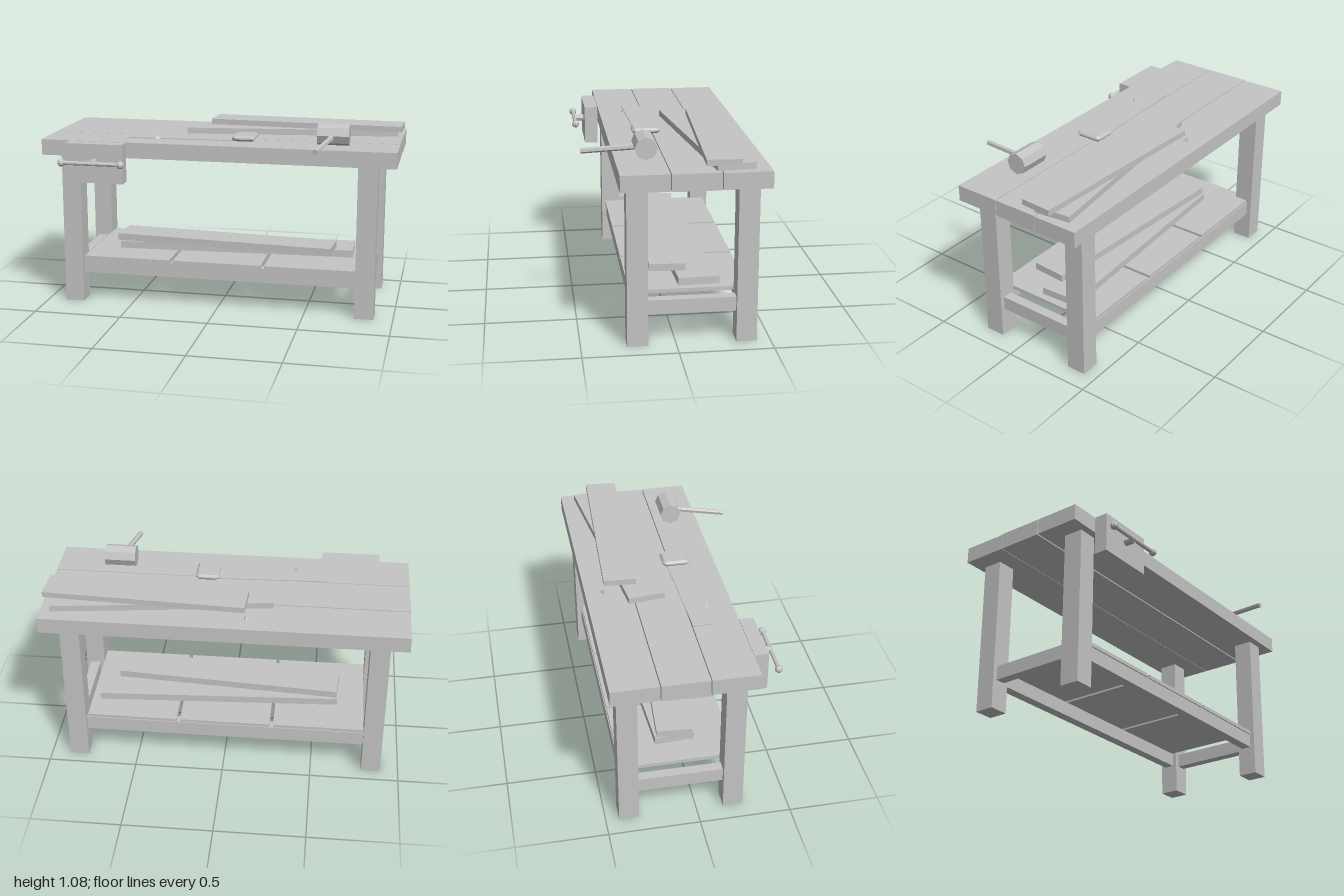
import * as THREE from 'three';

export function createModel() {
  const model = new THREE.Group();
  const wood = new THREE.MeshStandardMaterial({ color: 0xc4c4c4, flatShading: true });
  wood.name = 'plain grey wood';

  const add = (name, geometry, x = 0, y = 0, z = 0, parent = model) => {
    const mesh = new THREE.Mesh(geometry, wood);
    mesh.name = name;
    mesh.position.set(x, y, z);
    parent.add(mesh);
    return mesh;
  };
  // Box given by its extents along each axis
  const block = (name, [x0, x1], [y0, y1], [z0, z1]) =>
    add(name, new THREE.BoxGeometry(x1 - x0, y1 - y0, z1 - z0), (x0 + x1) / 2, (y0 + y1) / 2, (z0 + z1) / 2);
  // Loose board lying flat, turned about the vertical
  const board = (name, length, width, [y0, y1], x, z, turn) => {
    add(name, new THREE.BoxGeometry(length, y1 - y0, width), x, (y0 + y1) / 2, z).rotation.y = turn;
  };
  // Faceted rod between two points
  const rod = (name, from, to, radius, sides) => {
    const a = new THREE.Vector3(...from), b = new THREE.Vector3(...to);
    const mesh = add(name, new THREE.CylinderGeometry(radius, radius, a.distanceTo(b), sides));
    mesh.position.copy(a).add(b).multiplyScalar(0.5);
    mesh.quaternion.setFromUnitVectors(new THREE.Vector3(0, 1, 0), b.clone().sub(a).normalize());
    return mesh;
  };

  // Bench top of three planks with narrow gaps
  block('topPlankBack', [-0.997, 1], [0.868, 0.956], [-0.47, -0.217]);
  block('topPlankMiddle', [-1, 0.997], [0.866, 0.957], [-0.212, 0.04]);
  block('topPlankFront', [-1, 0.997], [0.868, 0.957], [0.045, 0.298]);

  // Four square legs
  for (const xs of [[-0.898, -0.79], [0.786, 0.893]]) {
    block('frontLeg', xs, [0, 0.868], [0.148, 0.258]);
    block('backLeg', xs, [0, 0.868], [-0.427, -0.318]);
  }

  // Rails between the legs
  block('frontRail', [-0.79, 0.786], [0.167, 0.25], [0.173, 0.23]);
  block('backRail', [-0.79, 0.786], [0.167, 0.25], [-0.4, -0.343]);
  for (const x of [-0.844, 0.84]) block('sideRail', [x - 0.028, x + 0.028], [0.165, 0.243], [-0.318, 0.148]);

  // Lower shelf of three boards
  for (const xs of [[-0.785, -0.28], [-0.26, 0.25], [0.27, 0.78]]) block('shelfBoard', xs, [0.247, 0.268], [-0.395, 0.237]);

  // Spare boards stacked on the shelf and on the top
  board('storedBoardLower', 1.37, 0.22, [0.27, 0.311], 0.054, -0.105, 0.052);
  board('storedBoardUpper', 1.275, 0.197, [0.314, 0.354], 0, -0.027, -0.07);
  board('workBoardLower', 1.21, 0.203, [0.957, 0.991], 0.355, -0.22, 0.12);
  board('workBoardUpper', 1.112, 0.178, [0.992, 1.024], 0.44, -0.248, -0.05);

  // Front vise: jaw, screw, sliding handle with end knobs
  block('viseJaw', [-0.835, -0.505], [0.735, 0.956], [0.3, 0.377]);
  rod('viseScrew', [-0.668, 0.856, 0.27], [-0.668, 0.856, 0.433], 0.02, 8);
  rod('viseHandle', [-0.84, 0.856, 0.433], [-0.5, 0.856, 0.433], 0.012, 8);
  for (const x of [-0.84, -0.5]) add('viseKnob', new THREE.SphereGeometry(0.022, 8, 6), x, 0.856, 0.433);

  // Mallet with octagonal head
  rod('malletHead', [0.55, 1.016, 0.137], [0.725, 1.016, 0.137], 0.06, 8);
  rod('malletHandle', [0.637, 1.01, 0.14], [0.578, 0.978, 0.465], 0.015, 6);

  // Thin blade with a chamfered grip block at its end
  board('blade', 0.64, 0.11, [0.957, 0.962], -0.21, 0.09, 0.036);
  const shape = new THREE.Shape();
  const w = 0.055, d = 0.067, c = 0.01;
  [[-w + c, -d], [w - c, -d], [w, -d + c], [w, d - c], [w - c, d], [-w + c, d], [-w, d - c], [-w, -d + c]]
    .forEach(([x, y], i) => (i ? shape.lineTo(x, y) : shape.moveTo(x, y)));
  const gripGeometry = new THREE.ExtrudeGeometry(shape, {
    depth: 0.008, bevelEnabled: true, bevelThickness: 0.011, bevelSize: 0.01, bevelSegments: 1,
  });
  gripGeometry.rotateX(-Math.PI / 2);
  add('bladeGrip', gripGeometry, 0.13, 0.97, 0.078);

  // Small wood chips
  for (const [x, z, turn] of [[-0.36, 0.153, Math.PI / 2], [-0.12, -0.37, -Math.PI / 2]])
    add('woodChip', new THREE.ConeGeometry(0.021, 0.022, 3), x, 0.968, z).rotation.y = turn;

  return model;
}
